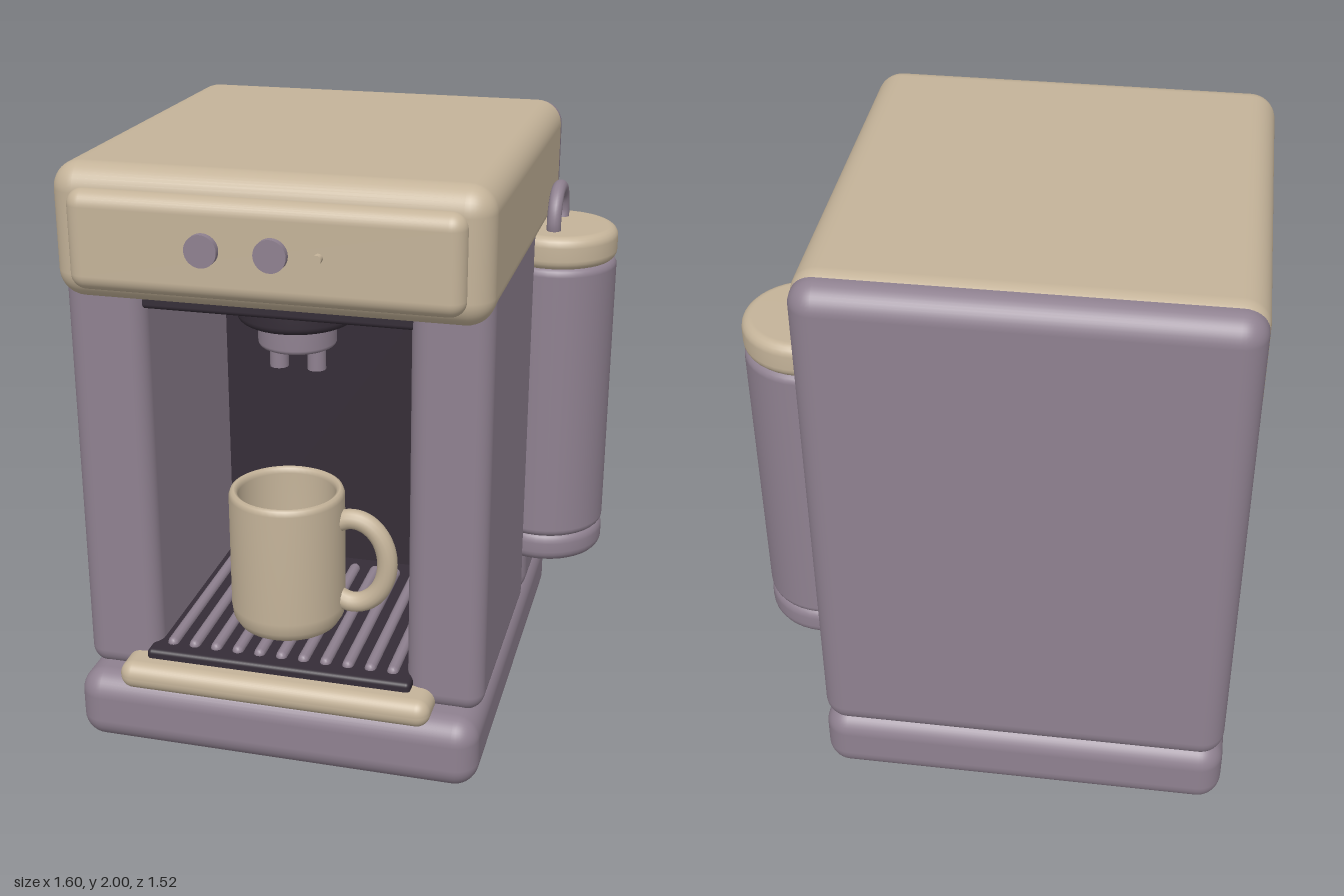
import * as THREE from 'three';
import { RoundedBoxGeometry } from 'three/addons/geometries/RoundedBoxGeometry.js';

const material = (name, color) => {
  const m = new THREE.MeshStandardMaterial({ color });
  m.name = name;
  return m;
};

export function createModel() {
  const model = new THREE.Group();
  model.name = 'coffeeMachine';
  const cream = material('cream', 0xc4b399);
  const mauve = material('mauve', 0x8f8190);
  const dark = material('dark', 0x352d37);

  const add = (name, geometry, mat, x = 0, y = 0, z = 0, parent = model) => {
    const mesh = new THREE.Mesh(geometry, mat);
    mesh.name = name;
    mesh.position.set(x, y, z);
    parent.add(mesh);
    return mesh;
  };
  // Rounded box given by its limits on each axis
  const box = (name, mat, [x0, x1], [y0, y1], [z0, z1], r) =>
    add(name, new RoundedBoxGeometry(x1 - x0, y1 - y0, z1 - z0, 5, r), mat,
      (x0 + x1) / 2, (y0 + y1) / 2, (z0 + z1) / 2);
  // Solid of revolution with small rounded rims, from y0 to y1
  const drum = (name, mat, r, y0, y1, bevel, x, z, parent = model) => {
    const pts = [new THREE.Vector2(0, y0)];
    for (let i = 0; i <= 5; i++) {
      const a = (i / 5) * Math.PI / 2;
      pts.push(new THREE.Vector2(r - bevel + bevel * Math.sin(a), y0 + bevel - bevel * Math.cos(a)));
    }
    for (let i = 0; i <= 5; i++) {
      const a = (i / 5) * Math.PI / 2;
      pts.push(new THREE.Vector2(r - bevel + bevel * Math.cos(a), y1 - bevel + bevel * Math.sin(a)));
    }
    pts.push(new THREE.Vector2(0, y1));
    return add(name, new THREE.LatheGeometry(pts, 40), mat, x, 0, z, parent);
  };
  const cx = -0.125;

  // Housing
  box('base', mauve, [-0.8, 0.55], [0.045, 0.29], [-0.76, 0.74], 0.08);
  box('rearBody', mauve, [-0.797, 0.547], [0.26, 1.99], [-0.76, -0.18], 0.08);
  box('leftPillar', mauve, [0.295, 0.547], [0.27, 1.72], [-0.2, 0.63], 0.06);
  box('rightPillar', mauve, [-0.797, -0.54], [0.27, 1.72], [-0.2, 0.63], 0.06);
  box('hood', cream, [-0.8, 0.55], [1.58, 2.0], [-0.72, 0.695], 0.085);
  box('recessPanel', dark, [-0.6, 0.35], [0.28, 1.62], [-0.2, -0.14], 0.01);
  for (const x of [-0.598, 0.345])
    for (const z of [0.5, -0.53]) drum('foot', dark, 0.095, 0, 0.07, 0.02, x, z);

  // Control panel
  box('controlPanel', cream, [-0.73, 0.48], [1.625, 1.935], [0.6, 0.74], 0.05);
  const button = (name, mat, r, x) => {
    const b = add(name, new THREE.CylinderGeometry(r, r, 0.03, 32), mat, x, 1.785, 0.747);
    b.rotation.x = Math.PI / 2;
  };
  button('button', mauve, 0.05, -0.295);
  button('button', mauve, 0.05, -0.085);
  button('indicator', cream, 0.014, 0.055);

  // Brewing head
  box('underPlate', dark, [-0.57, 0.32], [1.54, 1.6], [-0.16, 0.6], 0.015);
  drum('brewHead', dark, 0.19, 1.47, 1.56, 0.025, cx, 0.36);
  drum('filterHolder', mauve, 0.125, 1.385, 1.48, 0.015, cx, 0.36);
  for (const x of [-0.187, -0.063])
    add('spout', new THREE.CylinderGeometry(0.03, 0.03, 0.1, 20), mauve, x, 1.355, 0.36);

  // Drip tray
  box('tray', dark, [-0.57, 0.32], [0.28, 0.38], [-0.16, 0.67], 0.015);
  box('trayLip', cream, [-0.65, 0.395], [0.255, 0.35], [0.58, 0.74], 0.045);
  for (let i = 0; i < 11; i++) {
    const rod = add('trayRod', new THREE.CapsuleGeometry(0.019, 0.66, 4, 10), mauve,
      cx + (i - 5) * 0.075, 0.381, 0.27);
    rod.rotation.x = Math.PI / 2;
  }

  // Mug
  const mug = new THREE.Group();
  mug.name = 'mug';
  mug.position.set(-0.165, 0.395, 0.38);
  model.add(mug);
  const mugProfile = [[0, 0], [0.14, 0], [0.17, 0.012], [0.187, 0.04], [0.192, 0.08], [0.192, 0.47],
    [0.186, 0.487], [0.176, 0.492], [0.166, 0.486], [0.162, 0.47], [0.16, 0.08], [0.14, 0.045], [0, 0.04]];
  add('mugBody', new THREE.LatheGeometry(mugProfile.map(p => new THREE.Vector2(...p)), 48), cream, 0, 0, 0, mug);
  const loop = [];
  for (let i = 0; i <= 12; i++) {
    const a = (-115 + (i / 12) * 230) * Math.PI / 180;
    loop.push(new THREE.Vector3(0.225 + 0.117 * Math.cos(a), 0.25 + 0.153 * Math.sin(a), 0));
  }
  add('mugHandle', new THREE.TubeGeometry(new THREE.CatmullRomCurve3(loop), 40, 0.034, 14), cream, 0, 0, 0, mug);

  // Side canister
  const canister = new THREE.Group();
  canister.name = 'canister';
  canister.position.set(0.595, 0, -0.335);
  model.add(canister);
  drum('canisterFoot', mauve, 0.205, 0.455, 0.568, 0.04, 0, 0, canister);
  drum('canisterBody', mauve, 0.205, 0.55, 1.54, 0.03, 0, 0, canister);
  drum('canisterLid', cream, 0.205, 1.53, 1.645, 0.035, 0, 0, canister);
  const grip = [[-0.095, 1.62], [-0.104, 1.67], [-0.09, 1.72], [-0.05, 1.757], [0, 1.767],
    [0.05, 1.757], [0.09, 1.72], [0.104, 1.67], [0.095, 1.62]].map(([z, y]) => new THREE.Vector3(0, y, z));
  add('canisterHandle', new THREE.TubeGeometry(new THREE.CatmullRomCurve3(grip), 40, 0.024, 14), mauve, 0, 0, 0, canister);

  return model;
}
